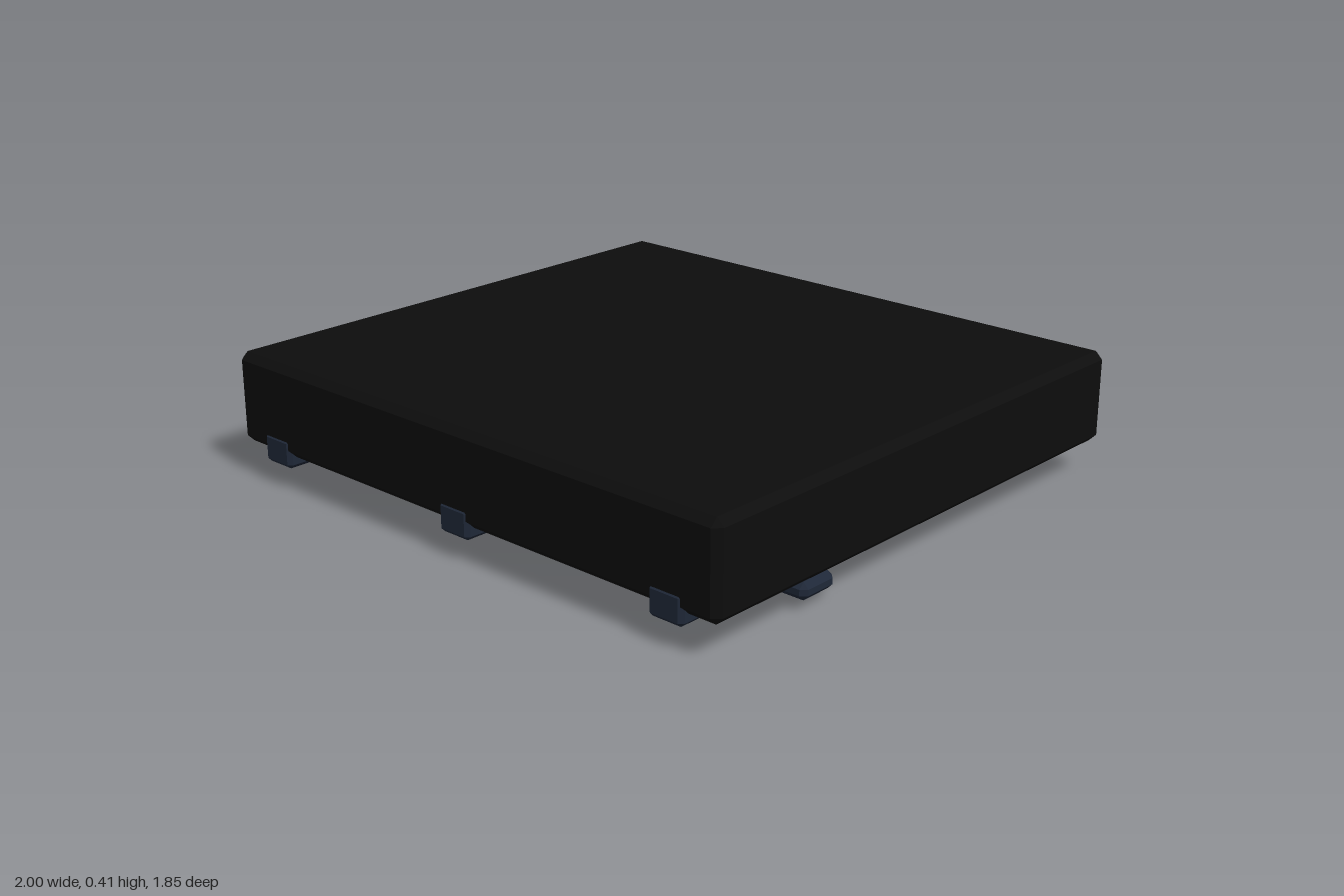
import * as THREE from 'three';
import { ConvexGeometry } from 'three/addons/geometries/ConvexGeometry.js';

// Box with every edge cut by a flat chamfer c.
function chamferBox(w, h, d, c) {
  const points = [];
  for (const sx of [-1, 1]) for (const sy of [-1, 1]) for (const sz of [-1, 1]) {
    const x = sx * w / 2, y = sy * h / 2, z = sz * d / 2;
    points.push(
      new THREE.Vector3(x, y - sy * c, z - sz * c),
      new THREE.Vector3(x - sx * c, y, z - sz * c),
      new THREE.Vector3(x - sx * c, y - sy * c, z)
    );
  }
  return new ConvexGeometry(points);
}

function material(name, color) {
  const m = new THREE.MeshStandardMaterial({ color });
  m.name = name;
  return m;
}

export function createModel() {
  const model = new THREE.Group();
  model.name = 'panel';
  const black = material('black', 0x0d0d0d);
  const slate = material('dark slate', 0x1f2838);
  const cyan = material('cyan', 0x26a9c8);

  // Adds a chamfered block spanning y0..y1, centred on x and z.
  function block(name, mat, w, d, y0, y1, c, x = 0, z = 0) {
    const mesh = new THREE.Mesh(chamferBox(w, y1 - y0, d, c), mat);
    mesh.name = name;
    mesh.position.set(x, (y0 + y1) / 2, z);
    model.add(mesh);
  }

  // Thick slab
  block('slab', black, 2, 1.842, 0.107, 0.405, 0.024);

  // Three beams running front to back, ends just proud of the slab
  for (const x of [-0.82, 0, 0.82]) {
    block('beam', slate, 0.124, 1.85, 0.07, 0.167, 0.013, x);
  }

  // Cross bar under the beams, near the front
  block('crossBar', slate, 1.934, 0.14, 0.03, 0.085, 0.018, 0, 0.457);

  // Light strip under the cross bar
  block('lightStrip', cyan, 1.046, 0.06, 0, 0.045, 0.009, 0, 0.461);

  return model;
}
